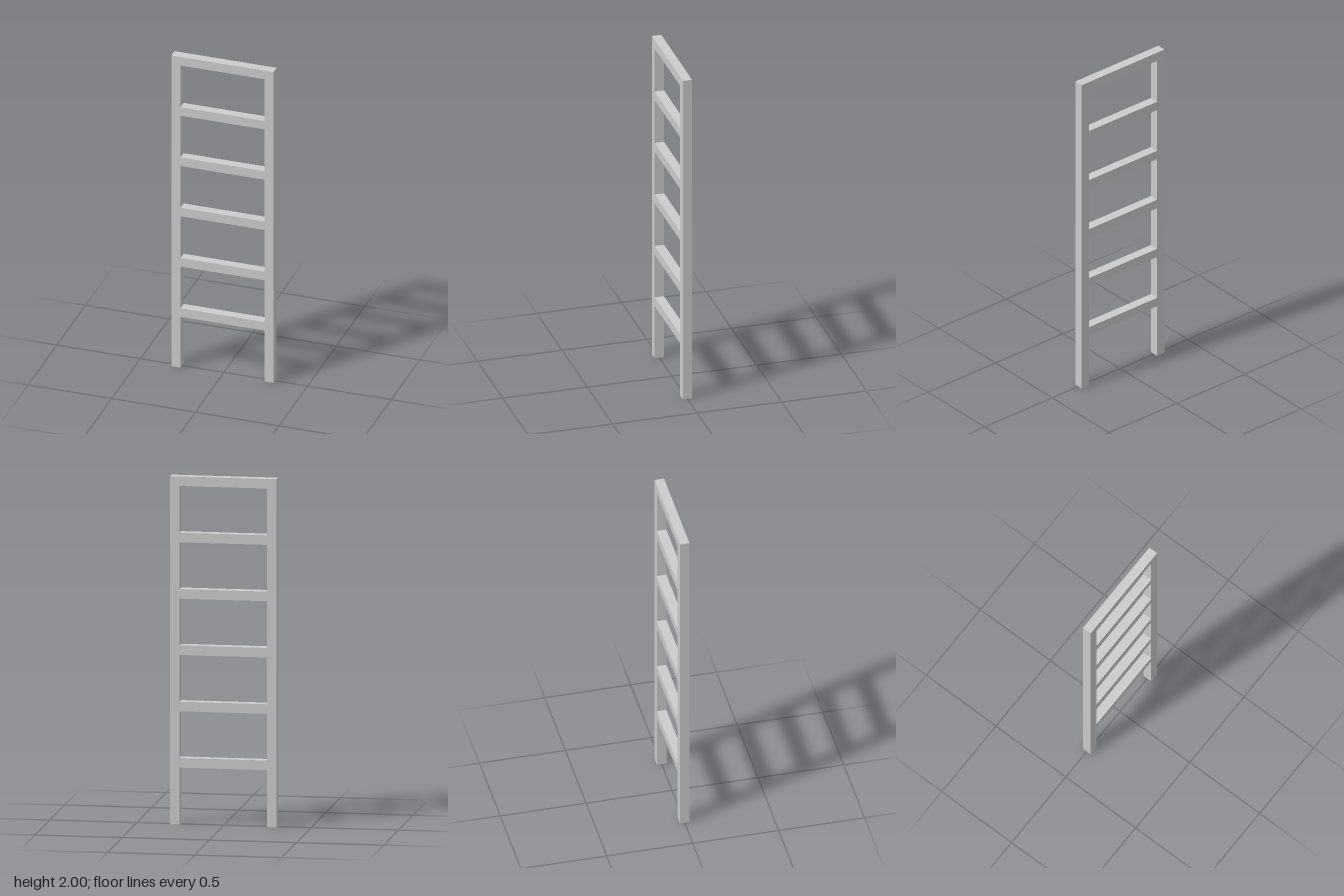
import * as THREE from 'three';

const HEIGHT = 2, WIDTH = 0.612, BAR = 0.055;
const RUNGS = 6, SPACING = 0.3235;

export function createModel() {
  const ladder = new THREE.Group();
  ladder.name = 'ladder';
  const material = new THREE.MeshStandardMaterial({ color: 0xcccccc, flatShading: true });

  const addBar = (name, width, height, x, y) => {
    const bar = new THREE.Mesh(new THREE.BoxGeometry(width, height, BAR), material);
    bar.name = name;
    bar.position.set(x, y, 0);
    ladder.add(bar);
  };

  // Upright side rails
  const railX = (WIDTH - BAR) / 2;
  addBar('leftRail', BAR, HEIGHT, railX, HEIGHT / 2);
  addBar('rightRail', BAR, HEIGHT, -railX, HEIGHT / 2);

  // Rungs fitted between the rails, the top one flush with the rail ends
  for (let i = 0; i < RUNGS; i++) {
    addBar(`rung${RUNGS - i}`, WIDTH - 2 * BAR, BAR, 0, HEIGHT - BAR / 2 - i * SPACING);
  }
  return ladder;
}
